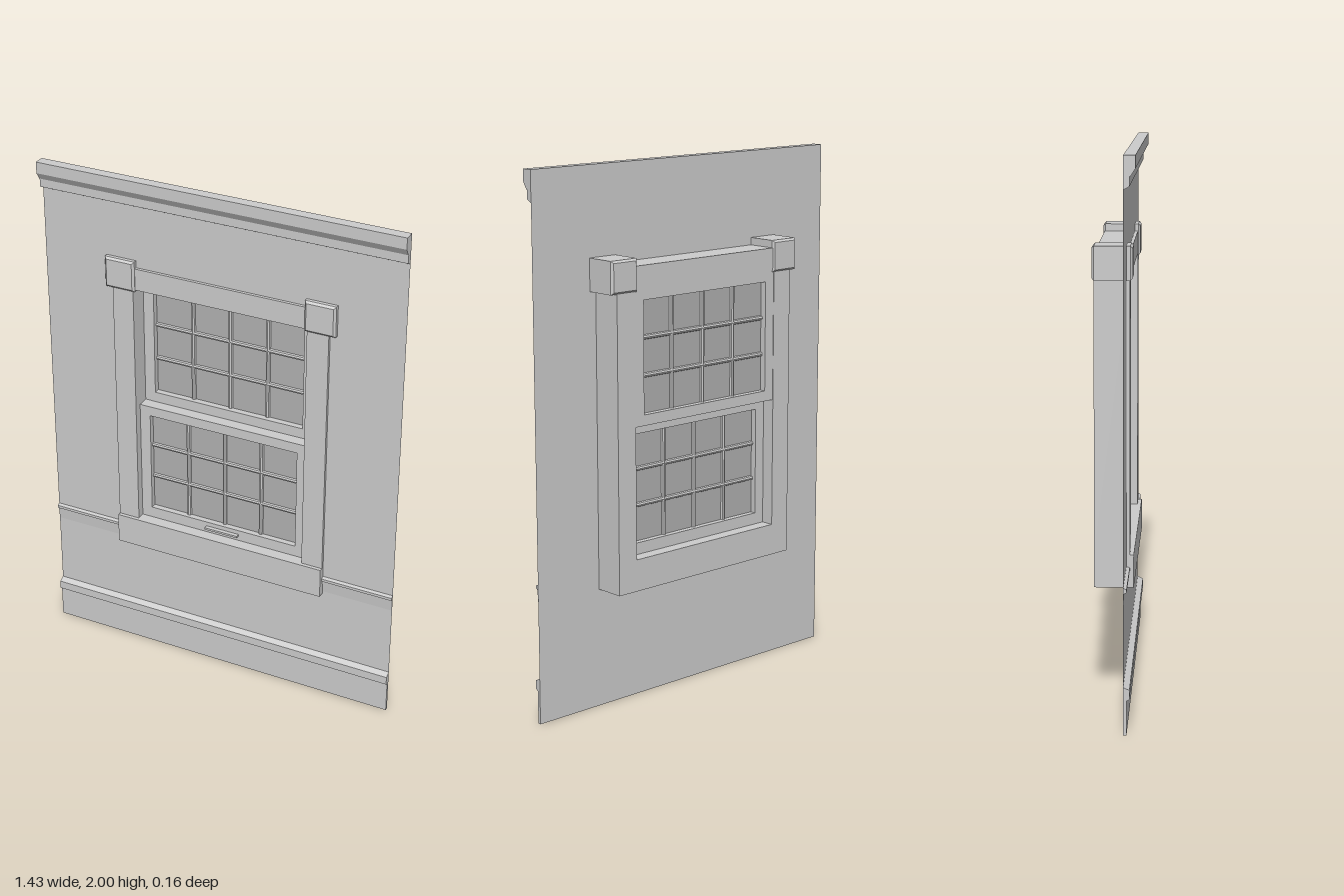
import * as THREE from 'three';

const grey = new THREE.MeshStandardMaterial({ color: 0xcccccc, flatShading: true });
const sheet = new THREE.MeshStandardMaterial({ color: 0xcccccc, side: THREE.DoubleSide });
const glass = new THREE.MeshStandardMaterial({ color: 0xb0b0b0, side: THREE.DoubleSide });

const WALL_X = 0.713, WALL_Z = 0.04;
const IN_X = 0.346, OUT_X = 0.43, BACK_Z = -0.075;

function add(parent, name, geometry, material = grey) {
  const mesh = new THREE.Mesh(geometry, material);
  mesh.name = name;
  parent.add(mesh);
  return mesh;
}

// Box given by its limits on each axis
function box(parent, name, x0, x1, y0, y1, z0, z1) {
  const mesh = add(parent, name, new THREE.BoxGeometry(x1 - x0, y1 - y0, z1 - z0));
  mesh.position.set((x0 + x1) / 2, (y0 + y1) / 2, (z0 + z1) / 2);
  return mesh;
}

function rectPath(x0, x1, y0, y1, Type = THREE.Shape) {
  return new Type([[x0, y0], [x1, y0], [x1, y1], [x0, y1]].map(p => new THREE.Vector2(...p)));
}

// Moulding: a [z, y] profile swept across the width of the wall
function moulding(parent, name, profile) {
  const shape = new THREE.Shape(profile.map(([z, y]) => new THREE.Vector2(-z, y)));
  const geo = new THREE.ExtrudeGeometry(shape, { depth: 2 * WALL_X, bevelEnabled: false });
  geo.rotateY(Math.PI / 2).translate(-WALL_X, 0, 0);
  add(parent, name, geo);
}

// Sash: frame with an opening, glass and a 4 x 3 grid of glazing bars
function sash(name, y0, y1, open0, open1, z0, z1) {
  const group = new THREE.Group();
  group.name = name;
  const openX = 0.304, zMid = (z0 + z1) / 2;

  const shape = rectPath(-IN_X, IN_X, y0, y1);
  shape.holes.push(rectPath(-openX, openX, open0, open1, THREE.Path));
  const frame = new THREE.ExtrudeGeometry(shape, { depth: z1 - z0, bevelEnabled: false });
  add(group, 'sashFrame', frame.translate(0, 0, z0));

  const pane = add(group, 'glassPane', new THREE.PlaneGeometry(2 * openX, open1 - open0), glass);
  pane.position.set(0, (open0 + open1) / 2, zMid);

  const bar = length => new THREE.CylinderGeometry(0.009, 0.009, length, 8);
  for (const i of [-1, 0, 1]) {
    add(group, 'verticalBar', bar(open1 - open0))
      .position.set(i * openX / 2, (open0 + open1) / 2, zMid);
  }
  for (const i of [1, 2]) {
    const mesh = add(group, 'horizontalBar', bar(2 * openX));
    mesh.rotation.z = Math.PI / 2;
    mesh.position.set(0, open0 + (open1 - open0) * i / 3, zMid);
  }
  return group;
}

export function createModel() {
  const model = new THREE.Group();
  model.name = 'windowWall';

  // Thin wall with the window opening cut out
  const wall = rectPath(-WALL_X, WALL_X, 0, 2);
  wall.holes.push(rectPath(-0.39, 0.39, 0.5, 1.6, THREE.Path));
  add(model, 'wall', new THREE.ShapeGeometry(wall), sheet).position.z = WALL_Z;

  // Mouldings across the wall
  moulding(model, 'crownMoulding', [[0.04, 2], [0.081, 2], [0.081, 1.957], [0.064, 1.93],
    [0.061, 1.93], [0.061, 1.897], [0.04, 1.886]]);
  moulding(model, 'chairRail', [[0.04, 0.528], [0.052, 0.523], [0.052, 0.512],
    [0.044, 0.508], [0.04, 0.46]]);
  moulding(model, 'baseboard', [[0.04, 0.174], [0.062, 0.163], [0.062, 0.13],
    [0.052, 0.124], [0.052, 0], [0.04, 0]]);

  // Window casing
  const casing = new THREE.Group();
  casing.name = 'casing';
  model.add(casing);
  box(casing, 'sill', -OUT_X, OUT_X, 0.45, 0.57, BACK_Z, 0.066);
  box(casing, 'header', -IN_X, IN_X, 1.56, 1.645, BACK_Z, 0.052);
  for (const side of [-1, 1]) {
    const [x0, x1] = [side * IN_X, side * OUT_X].sort((a, b) => a - b);
    box(casing, 'jamb', x0, x1, 0.57, 1.57, BACK_Z, 0.052);

    // Corner block with chamfered front and back edges
    const bevel = 0.008, half = 0.06 - bevel;
    const block = new THREE.ExtrudeGeometry(rectPath(-half, half, -half, half), {
      depth: 0.143 - 2 * bevel, bevelSize: bevel, bevelThickness: bevel, bevelSegments: 1,
    });
    add(casing, 'cornerBlock', block).position.set(side * 0.397, 1.613, -0.081 + bevel);
  }

  // Upper sash sits to the back, lower sash to the front
  model.add(sash('upperSash', 1.063, 1.56, 1.103, 1.52, -0.073, -0.025));
  model.add(sash('lowerSash', 0.57, 1.063, 0.614, 1.024, -0.025, 0.02));

  // Lift handle on the lower sash
  box(model, 'liftHandle', -0.068, 0.068, 0.589, 0.597, 0.02, 0.036);

  return model;
}
